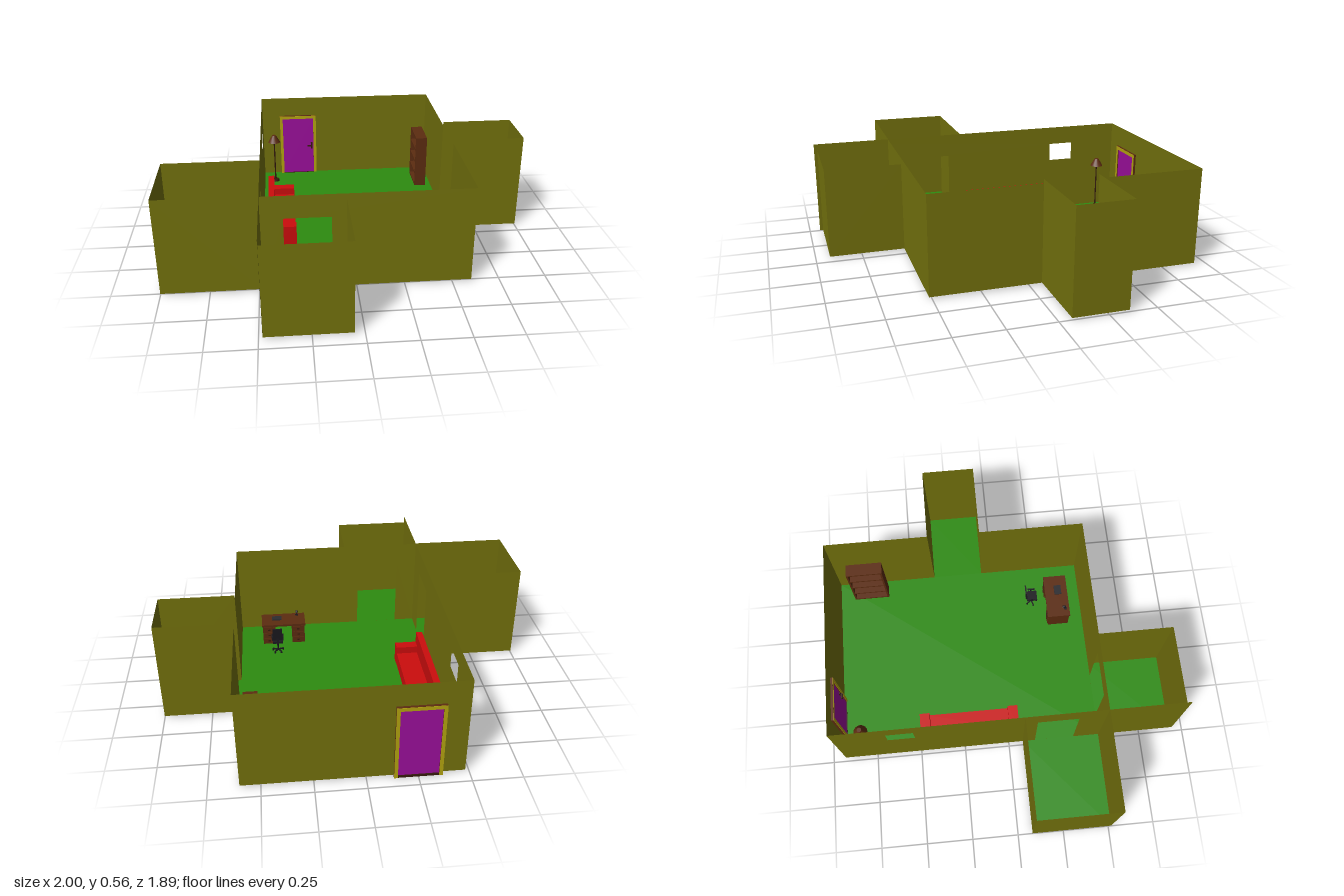
import * as THREE from 'three';

const mat = (name, color, side = THREE.FrontSide) => {
  const m = new THREE.MeshStandardMaterial({ color, side });
  m.name = name;
  return m;
};

export function createModel() {
  const olive = mat('olive wall', 0x74720d, THREE.DoubleSide);
  const green = mat('green carpet', 0x2e8c10, THREE.DoubleSide);
  const red = mat('red fabric', 0xcc0d0d);
  const brown = mat('brown wood', 0x5c2c10);
  const darkBrown = mat('dark brown', 0x351a0c);
  const purple = mat('purple door', 0x9c0f9c);
  const yellow = mat('yellow trim', 0xb5a510);
  const black = mat('black plastic', 0x1c1a20);
  const grey = mat('dark grey', 0x2c2c30);

  const model = new THREE.Group();
  const group = (name, parent = model) => {
    const g = new THREE.Group();
    g.name = name;
    parent.add(g);
    return g;
  };
  const add = (parent, name, geometry, material) => {
    const m = new THREE.Mesh(geometry, material);
    m.name = name;
    parent.add(m);
    return m;
  };
  // Box given by its lowest and highest corner
  const box = (parent, name, material, x0, x1, y0, y1, z0, z1) => {
    const m = add(parent, name, new THREE.BoxGeometry(x1 - x0, y1 - y0, z1 - z0), material);
    m.position.set((x0 + x1) / 2, (y0 + y1) / 2, (z0 + z1) / 2);
    return m;
  };
  const cylinder = (parent, name, material, r0, r1, x, y0, y1, z, sides = 12) => {
    const m = add(parent, name, new THREE.CylinderGeometry(r1, r0, y1 - y0, sides), material);
    m.position.set(x, (y0 + y1) / 2, z);
    return m;
  };

  // Floors
  const FLOOR = 0.01;
  const floors = group('floors');
  const floor = (name, x0, x1, z0, z1) => {
    const m = add(floors, name, new THREE.PlaneGeometry(x1 - x0, z1 - z0).rotateX(-Math.PI / 2), green);
    m.position.set((x0 + x1) / 2, FLOOR, (z0 + z1) / 2);
  };
  floor('mainFloor', -0.48, 0.6, -0.93, 0.515);
  floor('sideRoomFloor', -1, -0.48, 0.08, 0.515);
  floor('frontRoomFloor', -0.48, -0.05, 0.515, 0.925);
  floor('alcoveFloor', 0.6, 1, -0.355, -0.065);

  // Thin walls along x or z; holes are [from, to, bottom, top]
  const walls = group('walls');
  const rect = (Type, a, b, y0, y1) => {
    const s = new Type();
    s.moveTo(a, y0); s.lineTo(b, y0); s.lineTo(b, y1); s.lineTo(a, y1); s.closePath();
    return s;
  };
  const wall = (name, axis, at, from, to, top, holes = []) => {
    const s = rect(THREE.Shape, from, to, FLOOR, top);
    for (const h of holes) s.holes.push(rect(THREE.Path, ...h));
    const m = add(walls, name, new THREE.ShapeGeometry(s), olive);
    if (axis === 'z') {
      m.rotation.y = -Math.PI / 2;
      m.position.x = at;
    } else m.position.z = at;
  };
  const H = 0.535;
  wall('backWall', 'x', -0.93, -0.48, 0.6, H);
  wall('frontWall', 'x', 0.515, -0.48, 0.6, H, [[-0.366, -0.125, 0.0101, 0.41]]);
  wall('windowWall', 'z', -0.48, -0.93, 0.943, H,
    [[-0.65, -0.505, 0.325, 0.43], [0.15, 0.37, 0.0101, 0.405]]);
  wall('plainWallBack', 'z', 0.6, -0.93, -0.355, H);
  wall('plainWallFront', 'z', 0.6, -0.065, 0.515, H);
  wall('sideRoomBack', 'x', 0.08, -1, -0.48, 0.538);
  wall('sideRoomFront', 'x', 0.515, -1, -0.48, 0.538);
  wall('sideRoomEnd', 'z', -1, 0.08, 0.515, 0.538);
  wall('frontRoomEnd', 'x', 0.925, -0.48, -0.05, 0.5);
  wall('frontRoomSide', 'z', -0.05, 0.515, 0.925, 0.5);
  wall('alcoveBack', 'x', -0.355, 0.6, 1, 0.555);
  wall('alcoveFront', 'x', -0.065, 0.6, 1, 0.555);
  wall('alcoveEnd', 'z', 1, -0.355, -0.065, 0.555);

  // Entrance door with a wooden frame and trim on both faces
  const entrance = group('entranceDoor');
  box(entrance, 'doorPanel', purple, -0.35, -0.15, 0.012, 0.395, -0.938, -0.922);
  const framing = [[-0.368, -0.35, 0, 0.415], [-0.15, -0.132, 0, 0.415], [-0.35, -0.15, 0.395, 0.415]];
  for (const [x0, x1, y0, y1] of framing) {
    box(entrance, 'doorFrame', brown, x0, x1, y0, y1, -0.943, -0.917);
    for (const z of [-0.945, -0.917])
      box(entrance, 'frameTrim', yellow, x0, x1, y0, y1 - 0.001, z, z + 0.002);
  }
  box(entrance, 'threshold', darkBrown, -0.35, -0.15, 0, 0.012, -0.943, -0.917);
  box(entrance, 'handlePlate', darkBrown, -0.168, -0.156, 0.18, 0.225, -0.922, -0.915);
  box(entrance, 'handle', darkBrown, -0.19, -0.158, 0.2, 0.208, -0.915, -0.905);

  // Sofa
  const sofa = group('sofa');
  box(sofa, 'sofaBack', red, -0.45, -0.415, FLOOR, 0.185, -0.49, 0.065);
  box(sofa, 'sofaSeat', red, -0.415, -0.297, FLOOR, 0.08, -0.44, 0.01);
  for (const z of [-0.49, 0.01]) box(sofa, 'sofaArm', red, -0.415, -0.295, FLOOR, 0.12, z, z + 0.055);

  // Floor lamp
  const lamp = group('floorLamp');
  cylinder(lamp, 'lampBase', darkBrown, 0.025, 0.022, -0.41, 0.008, 0.022, -0.8, 16);
  cylinder(lamp, 'lampPole', darkBrown, 0.004, 0.004, -0.41, 0.02, 0.3, -0.8, 8);
  cylinder(lamp, 'lampShade', brown, 0.038, 0.012, -0.41, 0.285, 0.33, -0.8, 16);

  // Bookcase with shelves, open towards the room
  const bookcase = group('bookcase');
  box(bookcase, 'bookcaseBack', brown, 0.558, 0.565, FLOOR, 0.34, -0.845, -0.64);
  for (const z of [-0.845, -0.65]) box(bookcase, 'bookcaseSide', brown, 0.495, 0.558, FLOOR, 0.34, z, z + 0.01);
  for (let i = 0; i < 5; i++) {
    const y = FLOOR + i * 0.08;
    box(bookcase, 'shelf', brown, 0.495, 0.558, y, y + 0.01, -0.835, -0.65);
  }

  // Desk with two drawer pedestals
  const desk = group('desk');
  box(desk, 'deskTop', brown, 0.215, 0.475, 0.13, 0.142, 0.3, 0.432);
  for (const x of [0.22, 0.395]) {
    box(desk, 'pedestal', brown, x, x + 0.075, FLOOR, 0.13, 0.307, 0.427);
    for (let i = 0; i < 3; i++) {
      const y = 0.018 + i * 0.037;
      box(desk, 'drawerFront', brown, x + 0.006, x + 0.069, y, y + 0.032, 0.302, 0.307);
      box(desk, 'drawerKnob', darkBrown, x + 0.03, x + 0.045, y + 0.013, y + 0.019, 0.298, 0.302);
    }
  }
  box(desk, 'modestyPanel', brown, 0.295, 0.395, 0.06, 0.13, 0.418, 0.425);
  box(desk, 'laptop', grey, 0.355, 0.412, 0.142, 0.148, 0.355, 0.396);

  // Desk lamp
  const deskLamp = group('deskLamp');
  cylinder(deskLamp, 'deskLampBase', black, 0.009, 0.009, 0.262, 0.142, 0.146, 0.408);
  cylinder(deskLamp, 'deskLampArm', black, 0.002, 0.002, 0.262, 0.146, 0.175, 0.408, 6);
  const head = cylinder(deskLamp, 'deskLampHead', black, 0.009, 0.003, 0.262, 0.166, 0.18, 0.4);
  head.rotation.x = 0.5;

  // Swivel chair facing the desk
  const chair = group('deskChair');
  chair.position.set(0.385, 0, 0.222);
  box(chair, 'chairSeat', black, -0.03, 0.03, 0.078, 0.09, -0.03, 0.032);
  const back = box(chair, 'chairBack', black, -0.028, 0.028, 0.105, 0.182, -0.038, -0.03);
  back.rotation.x = -0.08;
  box(chair, 'backSupport', black, -0.006, 0.006, 0.08, 0.12, -0.036, -0.03);
  cylinder(chair, 'chairColumn', black, 0.005, 0.005, 0, 0.024, 0.078, 0, 8);
  for (const s of [-1, 1]) {
    box(chair, 'armPost', black, s * 0.031 - 0.002, s * 0.031 + 0.002, 0.082, 0.112, -0.004, 0.004);
    box(chair, 'armRest', black, s * 0.031 - 0.004, s * 0.031 + 0.004, 0.11, 0.116, -0.02, 0.02);
  }
  for (let i = 0; i < 5; i++) {
    const spoke = group('chairSpoke', chair);
    spoke.rotation.y = (i * 2 * Math.PI) / 5;
    box(spoke, 'spokeArm', black, -0.003, 0.003, 0.018, 0.025, 0, 0.034);
    box(spoke, 'caster', black, -0.004, 0.004, FLOOR, 0.019, 0.028, 0.036);
  }
  return model;
}
